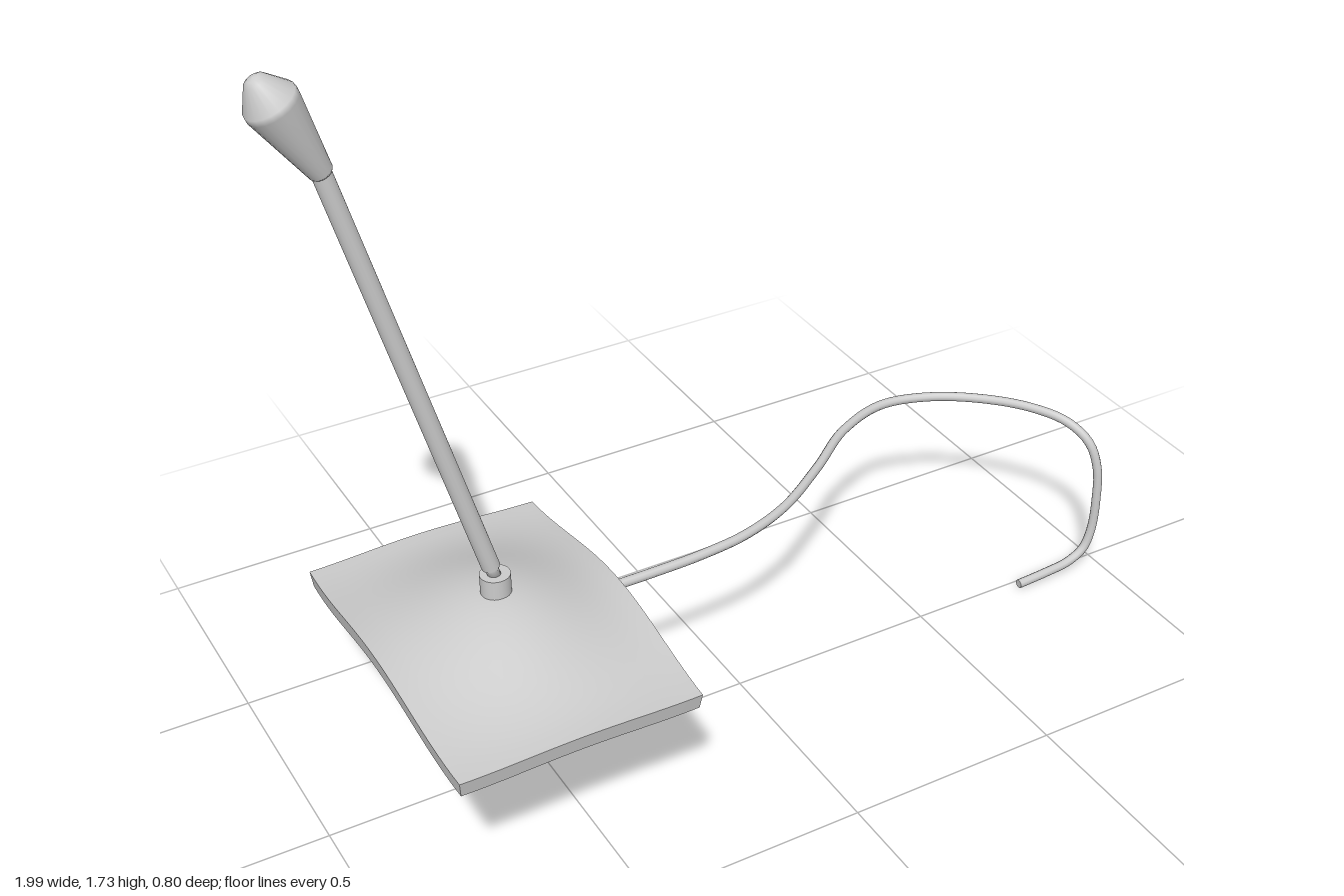
import * as THREE from 'three';

const grey = () => new THREE.MeshStandardMaterial({ color: 0xcccccc, side: THREE.DoubleSide });
const BASE_X = -0.585;

function add(group, name, geometry) {
  const mesh = new THREE.Mesh(geometry, grey());
  mesh.name = name;
  group.add(mesh);
  return mesh;
}

// Bell curve: 1 in the middle, 0 at either edge (t runs -1..1)
const bell = (t) => 0.5 + 0.5 * Math.cos(Math.PI * t);

// Thin slab bent into a soft dome that sags towards its front and back
function baseGeometry() {
  const geo = new THREE.BoxGeometry(2, 1, 2, 20, 1, 24);
  const p = geo.attributes.position;
  for (let i = 0; i < p.count; i++) {
    const u = p.getX(i), v = p.getZ(i), lower = p.getY(i) < 0;
    const bu = bell(u), bv = bell(v);
    const y = 0.382 + 0.043 * bv + bu * (0.008 + 0.057 * bv) - (lower ? 0.036 : 0);
    const halfX = 0.268 + 0.009 * (1 - v * v) - (lower ? 0.004 : 0);
    const halfZ = 0.397 + 0.003 * (1 - u * u) - (lower ? 0.007 : 0);
    p.setXYZ(i, BASE_X + u * halfX, y, v * halfZ);
  }
  geo.computeVertexNormals();
  return geo;
}

// Lathe from [radius, height] pairs
const lathe = (pts, sides) =>
  new THREE.LatheGeometry(pts.map(([r, y]) => new THREE.Vector2(r, y)), sides);

export function createModel() {
  const model = new THREE.Group();
  model.name = 'deskMicrophone';

  add(model, 'base', baseGeometry());

  // Collar where the stem meets the base
  const collar = add(model, 'collar', new THREE.CylinderGeometry(0.033, 0.033, 0.06, 24));
  collar.position.set(BASE_X, 0.502, 0);

  // Leaning stem with a narrow foot
  const foot = new THREE.Vector3(BASE_X, 0.525, 0);
  const top = new THREE.Vector3(-0.868, 1.53, 0);
  const length = foot.distanceTo(top);
  const stem = add(model, 'stem', lathe(
    [[0, 0], [0.014, 0], [0.014, 0.02], [0.02, 0.03], [0.02, length], [0, length]], 16));
  stem.position.copy(foot);
  stem.rotation.z = Math.atan2(foot.x - top.x, top.y - foot.y);

  // Tapered head, leaning further than the stem
  const head = add(model, 'head', lathe(
    [[0, 0], [0.02, 0], [0.024, 0.006], [0.054, 0.17], [0.053, 0.183], [0.022, 0.23], [0.012, 0.236], [0, 0.238]], 20));
  head.position.set(-0.863, 1.519, 0);
  head.rotation.z = THREE.MathUtils.degToRad(27);

  // Cable wandering behind, then dropping over an edge and curling back
  const path = [
    [-0.36, 0.408, 0.012], [-0.22, 0.408, 0.012], [-0.1, 0.408, 0.008], [0.02, 0.407, -0.01],
    [0.15, 0.406, -0.06], [0.3, 0.405, -0.16], [0.44, 0.405, -0.265], [0.58, 0.404, -0.315],
    [0.7, 0.403, -0.288], [0.81, 0.402, -0.215], [0.89, 0.4, -0.125], [0.94, 0.385, -0.05],
    [0.97, 0.345, 0.0], [0.984, 0.28, 0.022], [0.985, 0.19, 0.028], [0.978, 0.1, 0.027],
    [0.958, 0.05, 0.025], [0.915, 0.026, 0.024], [0.85, 0.018, 0.024], [0.77, 0.013, 0.024],
  ].map((c) => new THREE.Vector3(...c));
  const curve = new THREE.CatmullRomCurve3(path);
  const cableRadius = 0.011;
  add(model, 'cable', new THREE.TubeGeometry(curve, 120, cableRadius, 10));

  // Closed ends of the cable
  [0, 1].forEach((t) => {
    const cap = add(model, 'cableEnd', new THREE.CircleGeometry(cableRadius, 10));
    cap.position.copy(curve.getPointAt(t));
    const out = curve.getTangentAt(t).multiplyScalar(t ? 1 : -1);
    cap.quaternion.setFromUnitVectors(new THREE.Vector3(0, 0, 1), out);
  });

  return model;
}
